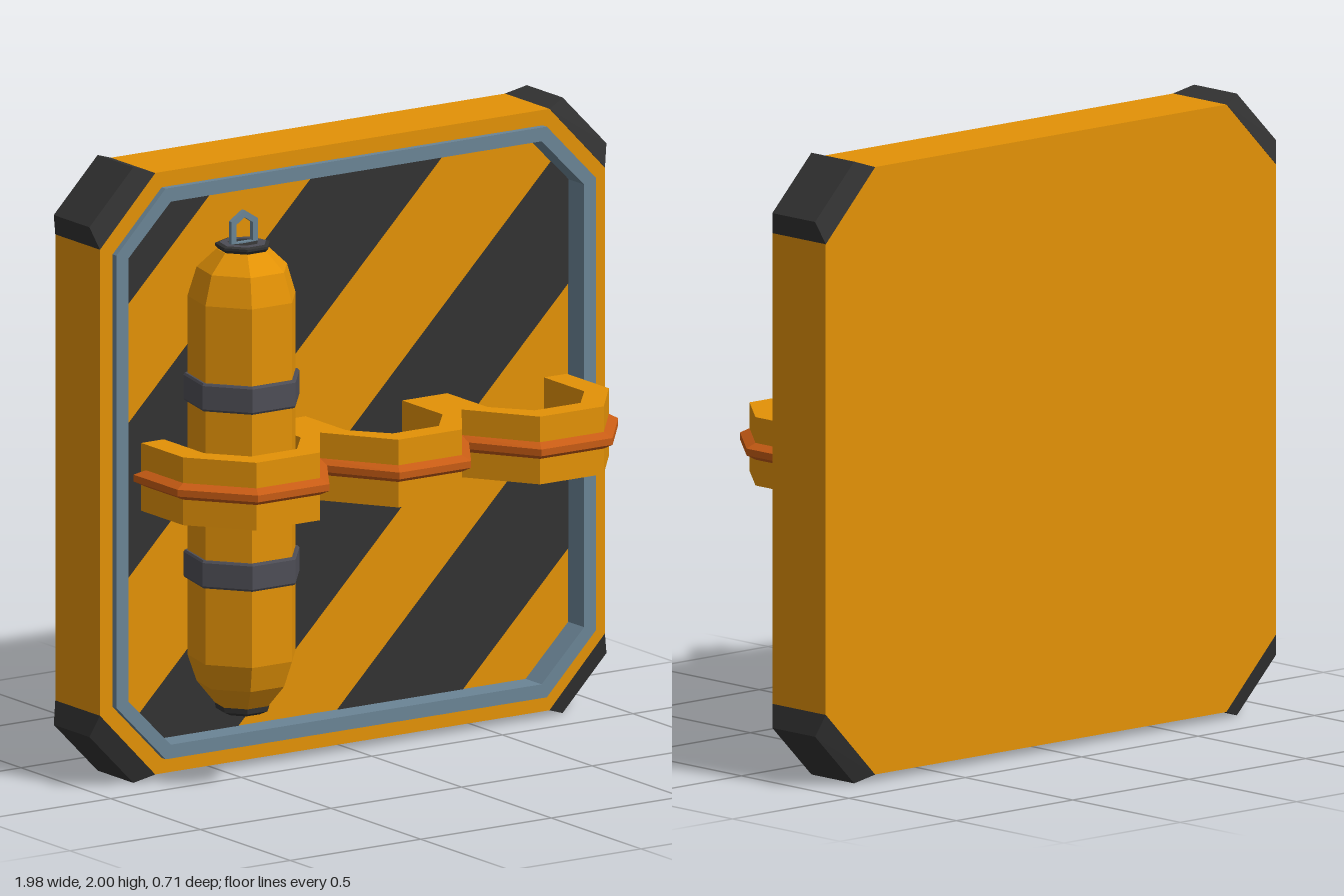
import * as THREE from 'three';
import { ConvexGeometry } from 'three/addons/geometries/ConvexGeometry.js';

const mat = (name, color) => {
  const m = new THREE.MeshStandardMaterial({ color });
  m.name = name;
  m.flatShading = true;
  return m;
};

export function createModel() {
  const yellow = mat('yellow paint', 0xe39206);
  const dark = mat('dark paint', 0x333333);
  const steel = mat('blue grey steel', 0x6b8596);
  const strapGrey = mat('strap grey', 0x4e4e56);
  const orange = mat('orange trim', 0xc85c14);

  const model = new THREE.Group();
  const CY = 1.0;
  const BACK = -0.356, RECESS = -0.176, FACE = -0.109;
  const add = (parent, name, geometry, material) => {
    const mesh = new THREE.Mesh(geometry, material);
    mesh.name = name;
    parent.add(mesh);
    return mesh;
  };
  const toShape = (pts, hole) => {
    const shape = new THREE.Shape(pts.map(([x, y]) => new THREE.Vector2(x, y)));
    if (hole) shape.holes.push(new THREE.Path(hole.map(([x, y]) => new THREE.Vector2(x, y))));
    return shape;
  };
  const extrude = (shape, z0, z1) =>
    new THREE.ExtrudeGeometry(shape, { depth: z1 - z0, bevelEnabled: false }).translate(0, 0, z0);

  // Rectangle with cut corners: half sizes w, h and where the cuts start
  const octagon = (w, h, cx, cy) => [
    [w, -cy], [w, cy], [cx, h], [-cx, h], [-w, cy], [-w, -cy], [-cx, -h], [cx, -h],
  ].map(([x, y]) => [x, y + CY]);
  const outer = octagon(0.967, 0.977, 0.755, 0.757);
  const frameOuter = octagon(0.918, 0.927, 0.73, 0.735);
  const frameMiddle = octagon(0.895, 0.905, 0.72, 0.727);
  const frameInner = octagon(0.873, 0.882, 0.71, 0.719);

  // Backing panel with a recess lined by the steel frame
  const panel = new THREE.Group();
  panel.name = 'panel';
  model.add(panel);
  add(panel, 'panelBack', extrude(toShape(outer), BACK, RECESS), yellow);
  add(panel, 'panelRim', extrude(toShape(outer, frameMiddle), RECESS, FACE), yellow);
  add(panel, 'frameLining', extrude(toShape(frameMiddle, frameInner), RECESS, FACE), steel);
  add(panel, 'steelFrame', extrude(toShape(frameOuter, frameInner), FACE, -0.087), steel);

  // Corner guards, tapering outwards
  for (const sx of [-1, 1]) for (const sy of [-1, 1]) {
    const pts = [];
    const edge = (x, y, z0, z1) => [z0, z1].forEach((z) =>
      pts.push(new THREE.Vector3(sx * x, CY + sy * y, z)));
    edge(0.967, 0.757, BACK - 0.001, FACE + 0.001);
    edge(0.755, 0.977, BACK - 0.001, FACE + 0.001);
    edge(0.99, 0.828, -0.332, -0.133);
    edge(0.822, 1.0, -0.332, -0.133);
    add(panel, 'cornerGuard', new ConvexGeometry(pts), dark);
  }

  // Diagonal stripes: the recess outline clipped to lo < y - x < hi
  const clip = (pts, f) => {
    const out = [];
    pts.forEach((a, i) => {
      const b = pts[(i + 1) % pts.length];
      const fa = f(a), fb = f(b);
      if (fa >= 0) out.push(a);
      if (fa * fb < 0) {
        const t = fa / (fa - fb);
        out.push([a[0] + (b[0] - a[0]) * t, a[1] + (b[1] - a[1]) * t]);
      }
    });
    return out;
  };
  for (const [lo, hi] of [[-0.35, 0.13], [0.51, 0.98], [1.47, 1.97], [2.36, 4]]) {
    let pts = clip(frameInner, ([x, y]) => y - x - lo);
    pts = clip(pts, ([x, y]) => hi - (y - x));
    add(panel, 'stripe', extrude(toShape(pts), RECESS, RECESS + 0.003), dark);
  }

  // Three-bay holder, drawn in plan (x, z) and extruded in height
  const holder = new THREE.Group();
  holder.name = 'holder';
  model.add(holder);
  const BAYS = [-0.543, 0, 0.543];
  const outline = (back, side, bend, front, flat, notch) => {
    const pts = [[-side, back], [-side, bend]];
    BAYS.forEach((x, i) => {
      if (i) pts.push([(x + BAYS[i - 1]) / 2, notch]);
      pts.push([x - flat, front], [x + flat, front]);
    });
    pts.push([side, bend], [side, back]);
    return pts;
  };
  const bodyPts = outline(-0.1, 0.815, 0.135, 0.325, 0.122, 0.105);
  // Return along the inside of the bays, from right to left
  for (const x of [...BAYS].reverse()) {
    bodyPts.push([x + 0.185, -0.1], [x + 0.185, 0.125], [x + 0.088, 0.245],
      [x - 0.088, 0.245], [x - 0.185, 0.125], [x - 0.185, -0.1]);
  }
  const flatExtrude = (pts, options, top) =>
    new THREE.ExtrudeGeometry(toShape(pts), options).rotateX(Math.PI / 2).translate(0, top, 0);
  add(holder, 'holderBody', flatExtrude(bodyPts, { depth: 0.22, bevelEnabled: false }, 1.11), yellow);

  // Trim band whose bevels rise straight from the front of the holder
  const trimPts = [
    ...outline(-0.072, 0.815, 0.135, 0.325, 0.122, 0.105),
    ...outline(-0.072, 0.795, 0.128, 0.305, 0.113, 0.08).reverse(),
  ];
  add(holder, 'holderTrim', flatExtrude(trimPts, {
    depth: 0.022, bevelEnabled: true, bevelSegments: 1, bevelSize: 0.029, bevelThickness: 0.016,
  }, 1.011), orange);

  // Seven-sided canister standing in the first bay
  const canister = new THREE.Group();
  canister.name = 'canister';
  canister.position.set(-0.547, 0, 0.08);
  model.add(canister);
  const lathe = (name, profile, material) => add(canister, name, new THREE.LatheGeometry(
    profile.map(([r, y]) => new THREE.Vector2(r, y)), 7, Math.PI), material);
  lathe('canisterBody', [[0, 0.265], [0.09, 0.265], [0.148, 0.335], [0.177, 0.42],
    [0.177, 1.585], [0.148, 1.68], [0.085, 1.74], [0, 1.74]], yellow);
  for (const y of [0.67, 1.245]) {
    lathe('strap', [[0.175, y], [0.185, y], [0.19, y + 0.007], [0.19, y + 0.083],
      [0.185, y + 0.09], [0.175, y + 0.09]], strapGrey);
  }
  lathe('topCapSide', [[0.07, 1.728], [0.09, 1.75], [0.09, 1.758], [0.077, 1.762]], dark);
  lathe('topCapRing', [[0.077, 1.762], [0.05, 1.762]], strapGrey);
  lathe('topCapCentre', [[0.05, 1.762], [0, 1.76]], dark);
  lathe('bottomCap', [[0, 0.235], [0.06, 0.235], [0.088, 0.248], [0.09, 0.265], [0.07, 0.28]], dark);

  // Pointed pull loop on top
  const loop = toShape(
    [[-0.05, 1.755], [0.05, 1.755], [0.05, 1.835], [0, 1.867], [-0.05, 1.835]],
    [[-0.031, 1.765], [0.031, 1.765], [0.031, 1.824], [0, 1.844], [-0.031, 1.824]]);
  add(canister, 'pullLoop', extrude(loop, -0.008, 0.008), steel);

  return model;
}
